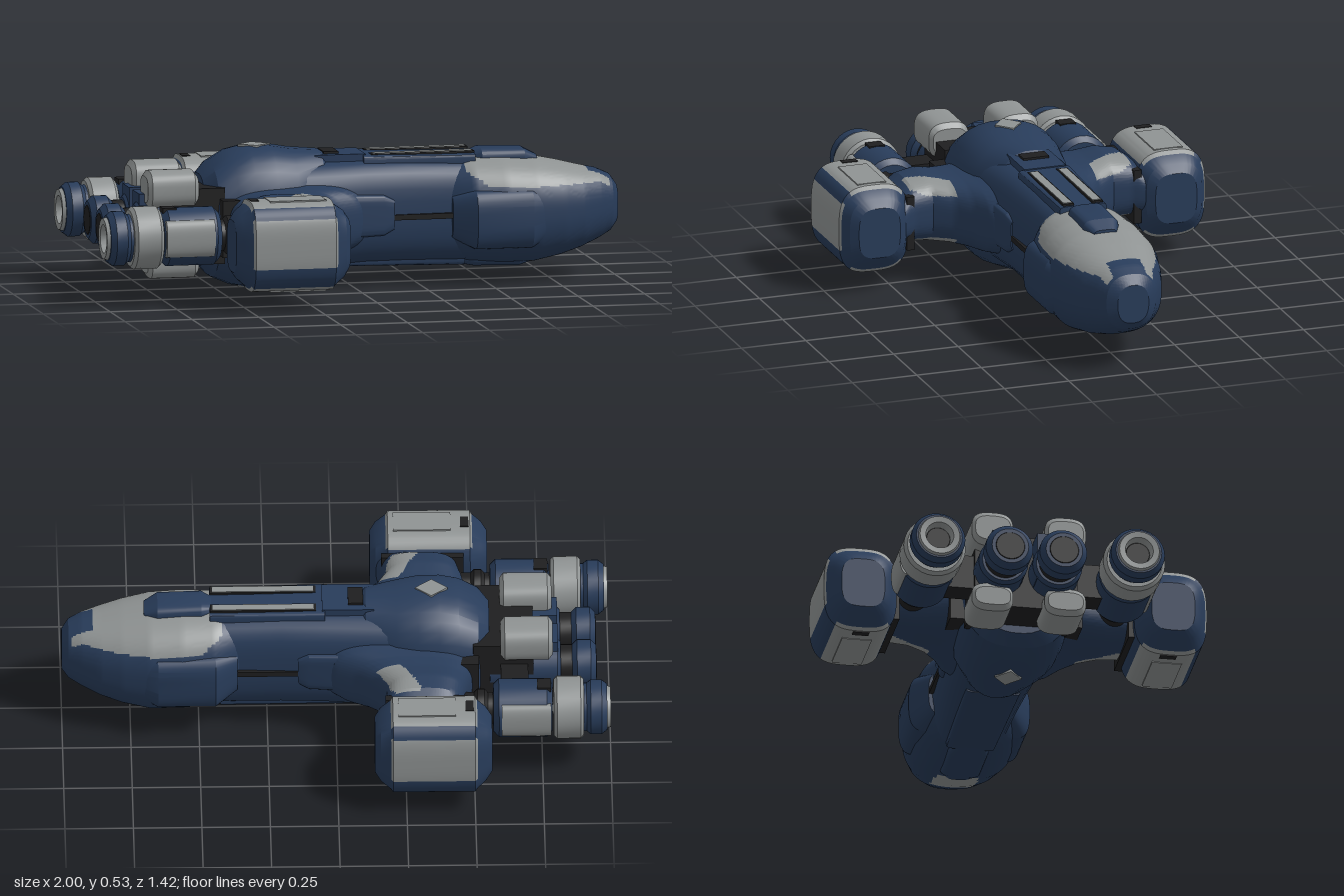
import * as THREE from 'three';
import { toCreasedNormals } from 'three/addons/utils/BufferGeometryUtils.js';

const paint = (name, color) => Object.assign(new THREE.MeshStandardMaterial({ color }), { name });

export function createModel() {
  const blue = paint('navy hull', 0x283c5a);
  const grey = paint('pale armour', 0x8f9393);
  const dark = paint('dark machinery', 0x1f1f20);
  const ship = new THREE.Group();
  ship.name = 'spaceship';

  const add = (name, geometry, material) => {
    const mesh = new THREE.Mesh(geometry, material);
    mesh.name = name;
    ship.add(mesh);
    return mesh;
  };
  const box = (name, mat, x0, x1, y0, y1, z0, z1) =>
    add(name, new THREE.BoxGeometry(x1 - x0, y1 - y0, Math.abs(z1 - z0)), mat)
      .position.set((x0 + x1) / 2, (y0 + y1) / 2, (z0 + z1) / 2);

  // Loft of rounded sections. Station: [position, centre, half width, bottom, top].
  // power sets how boxy the section is; accent(x, y, z) picks the grey faces;
  // fine splits each span so that the accent edges come out clean.
  function loft(name, mat, stations, { power = 3, axis = 'x', side = 1, accent, segs = 32, fine = 1 } = {}) {
    const pos = [], main = [], second = [];
    const flip = (axis === 'z') !== (side < 0);
    const put = (t, u, y) => (axis === 'x' ? pos.push(t, y, u * side) : pos.push(u, y, t * side));
    const round = (v) => Math.sign(v) * Math.abs(v) ** (2 / power);
    const spans = (stations.length - 1) * fine;
    for (let i = 0; i <= spans; i++) {
      const k = Math.min(Math.floor(i / fine), stations.length - 2);
      const [t, c, w, y0, y1] = stations[k].map((v, n) => v + (stations[k + 1][n] - v) * (i / fine - k));
      for (let j = 0; j < segs; j++) {
        const a = ((j + 0.5) / segs) * Math.PI * 2;
        put(t, c + w * round(Math.cos(a)), (y0 + y1) / 2 + ((y1 - y0) / 2) * round(Math.sin(a)));
      }
    }
    const face = (ids) => {
      const mid = [0, 1, 2].map((k) => ids.reduce((sum, i) => sum + pos[i * 3 + k], 0) / ids.length);
      const list = accent && accent(mid[0], mid[1], mid[2] * side) ? second : main;
      if (flip) ids.reverse();
      for (let k = 1; k < ids.length - 1; k++) list.push(ids[0], ids[k], ids[k + 1]);
    };
    const last = spans * segs;
    for (let i = 0; i < last; i += segs)
      for (let j = 0; j < segs; j++) {
        const n = (j + 1) % segs;
        face([i + j, i + segs + j, i + segs + n, i + n]);
      }
    const ring = [...Array(segs).keys()];
    face(ring.slice());
    face(ring.map((j) => last + segs - 1 - j));
    const g = new THREE.BufferGeometry();
    g.setAttribute('position', new THREE.Float32BufferAttribute(pos, 3));
    g.setIndex([...main, ...second]);
    g.addGroup(0, main.length, 0);
    g.addGroup(main.length, second.length, 1);
    return add(name, toCreasedNormals(g, 0.4), [mat, grey]);
  }

  // Turned part along x; profile points are [x, radius], from tail to nose.
  function turned(name, mat, profile, y, z) {
    const g = new THREE.LatheGeometry(profile.map(([x, r]) => new THREE.Vector2(r, x)), 28);
    g.rotateZ(-Math.PI / 2);
    add(name, toCreasedNormals(g, 0.6), mat).position.set(0, y, z);
  }
  const drum = (name, mat, x0, x1, r, y, z, bevel = 0.012) =>
    turned(name, mat, [[x0, 0], [x0, r - bevel], [x0 + bevel, r], [x1 - bevel, r], [x1, r - bevel], [x1, 0]], y, z);

  // Forward hull with a pale upper shell, navy prow and one belly patch
  loft('noseHull', blue, [
    [0.34, 0, 0.14, 0.1, 0.45], [0.44, 0, 0.195, 0.08, 0.465], [0.56, 0, 0.21, 0.07, 0.465],
    [0.68, 0, 0.21, 0.07, 0.455], [0.78, 0, 0.188, 0.09, 0.435], [0.86, 0, 0.16, 0.115, 0.415],
    [0.93, 0, 0.122, 0.145, 0.4], [0.975, 0, 0.095, 0.17, 0.38], [1, 0, 0.06, 0.2, 0.345],
  ], {
    power: 2.5, segs: 120, fine: 8,
    accent: (x, y, z) => {
      const prow = x > 0.89 && Math.abs(z) < 0.065;
      const shell = x > 0.41 && x < 0.965 && y > 0.365 + Math.max(0, 0.5 - x) * 0.7 - Math.max(0, x - 0.92) * 0.5;
      return (shell && !prow) || (y < 0.16 && x > 0.66 && x < 0.82 && Math.abs(z) < 0.08);
    },
  });

  // Blisters on top of and below the nose
  loft('dorsalBlister', blue, [[0.44, 0, 0.04, 0.4, 0.475], [0.49, 0, 0.068, 0.4, 0.493],
    [0.65, 0, 0.068, 0.4, 0.488], [0.7, 0, 0.045, 0.4, 0.462]], { power: 4 });
  loft('ventralBlister', blue, [[0.38, 0, 0.05, 0.075, 0.14], [0.46, 0, 0.075, 0.06, 0.14],
    [0.63, 0, 0.075, 0.056, 0.14], [0.68, 0, 0.045, 0.068, 0.14]], { power: 4 });

  // Middle hull and spine
  loft('middleHull', blue, [[-0.2, 0, 0.18, 0.07, 0.47], [0.04, 0, 0.165, 0.085, 0.472],
    [0.2, 0, 0.155, 0.085, 0.47], [0.42, 0, 0.145, 0.08, 0.46]], { power: 3.2 });
  loft('spine', blue, [[0.04, 0, 0.1, 0.42, 0.488], [0.46, 0, 0.09, 0.42, 0.48]], { power: 8 });
  loft('keel', blue, [[-0.05, 0, 0.1, 0.08, 0.14], [0.42, 0, 0.09, 0.07, 0.14]], { power: 8 });
  box('dorsalHatch', dark, -0.1, -0.045, 0.492, 0.5, -0.05, 0.05);
  box('hatchBase', blue, -0.14, 0.05, 0.44, 0.492, -0.08, 0.08);

  // Engine hall: the tall rear hull with stepped front
  loft('rearHull', blue, [
    [-0.56, 0, 0.14, 0.09, 0.43], [-0.52, 0, 0.2, 0.05, 0.47], [-0.45, 0, 0.21, 0.02, 0.512],
    [-0.38, 0, 0.213, 0.008, 0.528], [-0.3, 0, 0.21, 0.008, 0.528], [-0.22, 0, 0.195, 0.022, 0.514],
    [-0.11, 0, 0.14, 0.04, 0.505], [-0.09, 0, 0.12, 0.045, 0.49],
  ], { power: 2.5 });
  for (const y of [0.527, 0.0095]) {
    const panel = add('diamondPanel', new THREE.CylinderGeometry(0.06, 0.06, 0.009, 4), grey);
    panel.position.set(-0.35, y, 0);
    panel.scale.z = 0.85;
  }

  for (const s of [1, -1]) {
    // Spine stripes in dark seams, and side armour
    box('stripeSeam', dark, 0.072, 0.458, 0.482, 0.4895, s * 0.035, s * 0.077);
    box('spineStripe', grey, 0.08, 0.45, 0.484, 0.492, s * 0.04, s * 0.072);
    box('sideGroove', dark, 0.1, 0.36, 0.255, 0.275, s * 0.13, s * 0.164);
    loft('sidePanel', blue, [[-0.16, 0.15, 0.045, 0.19, 0.36], [0.1, 0.14, 0.038, 0.2, 0.35],
      [0.14, 0.14, 0.025, 0.22, 0.33]], { power: 6, side: s });
    loft('noseShoulder', blue, [[0.36, 0.12, 0.045, 0.18, 0.34], [0.44, 0.16, 0.065, 0.14, 0.36],
      [0.65, 0.16, 0.065, 0.14, 0.36], [0.71, 0.15, 0.05, 0.17, 0.34]], { power: 3, side: s });
    box('flankMachinery', dark, -0.52, -0.2, 0.15, 0.36, s * 0.18, s * 0.245);

    // Wing strut, flared into the hull, with slanted pale panels above and below
    loft('wingStrut', blue, [
      [0.14, -0.23, 0.29, 0.13, 0.4], [0.19, -0.25, 0.26, 0.135, 0.39], [0.23, -0.285, 0.215, 0.14, 0.385],
      [0.28, -0.31, 0.175, 0.145, 0.385], [0.35, -0.325, 0.145, 0.15, 0.395],
      [0.42, -0.315, 0.14, 0.16, 0.385], [0.47, -0.3, 0.145, 0.17, 0.35],
    ], {
      power: 3, axis: 'z', side: s, segs: 180, fine: 5,
      accent: (x, y, z) => {
        const edge = x + (z - 0.42) * 0.5;
        return (y > 0.345 || y < 0.18) && z > 0.27 && z < 0.43 && edge > -0.31 && edge < -0.21;
      },
    });
    box('strutCollar', dark, -0.475, -0.175, 0.15, 0.355, s * 0.425, s * 0.455);

    // Wingtip nacelle: pale shell over top and outer side, pale plate below
    loft('nacelle', blue, [
      [-0.562, 0.575, 0.08, 0.15, 0.34], [-0.54, 0.575, 0.108, 0.12, 0.37], [-0.508, 0.575, 0.128, 0.09, 0.395],
      [-0.5, 0.575, 0.135, 0.078, 0.41], [-0.2, 0.575, 0.135, 0.078, 0.41], [-0.192, 0.575, 0.128, 0.09, 0.395],
      [-0.155, 0.575, 0.108, 0.12, 0.37], [-0.134, 0.575, 0.08, 0.15, 0.34],
    ], {
      power: 3.2, side: s, segs: 80,
      accent: (x, y, z) => x > -0.52 && x < -0.18 && z > 0.45 &&
        ((y > 0.365 && z < 0.665) || (y < 0.115 && z < 0.665) || (y > 0.17 && y < 0.35 && z > 0.67)),
    });
    for (const y of [0.408, 0.08]) {
      box('nacellePlate', grey, -0.43, -0.22, y - 0.004, y + 0.004, s * 0.52, s * 0.63);
      box('nacelleVent', dark, -0.495, -0.465, y - 0.004, y + 0.004, s * 0.54, s * 0.6);
    }

    // Outer engine
    const z = s * 0.37, y = 0.255;
    drum('outerCoupling', dark, -0.58, -0.4, 0.058, y, z);
    drum('outerCouplingRing', dark, -0.55, -0.5, 0.07, y, z);
    drum('outerEngineBody', blue, -0.785, -0.57, 0.107, y, z, 0.02);
    drum('outerEngineBand', grey, -0.9, -0.79, 0.115, y, z);
    turned('outerNozzle', blue, [[-0.955, 0], [-0.955, 0.05], [-0.985, 0.06], [-0.985, 0.085], [-0.965, 0.1],
      [-0.925, 0.1], [-0.91, 0.088], [-0.89, 0.088], [-0.89, 0]], y, z);
    turned('outerExhaust', grey, [[-0.96, 0.045], [-0.996, 0.052], [-0.998, 0.074], [-0.98, 0.08]], y, z);
    drum('exhaustCore', dark, -0.962, -0.94, 0.046, y, z, 0.003);
    loft('outerEnginePlate', grey, [[-0.78, 0.45, 0.029, 0.19, 0.325], [-0.6, 0.45, 0.029, 0.19, 0.325]],
      { power: 2.5, side: s });
    box('engineNotch', dark, -0.78, -0.73, 0.345, 0.364, z - 0.03, z + 0.03);

    // Inner engine with pale caps above and below
    const zi = s * 0.1;
    drum('innerNozzle', blue, -0.95, -0.86, 0.088, y, zi, 0.02);
    drum('innerExhaust', dark, -0.952, -0.93, 0.055, y, zi, 0.003);
    drum('innerThroat', dark, -0.88, -0.78, 0.07, y, zi);
    drum('innerEngineBody', blue, -0.82, -0.55, 0.092, y, zi);
    box('innerEngineBlock', blue, -0.81, -0.72, 0.2, 0.38, s * 0.025, s * 0.14);
    for (const [y0, y1] of [[0.33, 0.465], [0.07, 0.18]])
      loft('innerEngineCap', grey, [[-0.79, 0.135, 0.065, y0 + 0.02, y1 - 0.02], [-0.775, 0.135, 0.077, y0, y1],
        [-0.615, 0.135, 0.077, y0, y1], [-0.6, 0.135, 0.065, y0 + 0.02, y1 - 0.02]], { power: 3, side: s });
    box('engineLink', dark, -0.7, -0.6, 0.19, 0.32, s * 0.16, s * 0.3);
  }

  // Machinery frame behind the hull
  box('engineFrame', dark, -0.72, -0.5, 0.12, 0.4, -0.19, 0.19);
  return ship;
}
